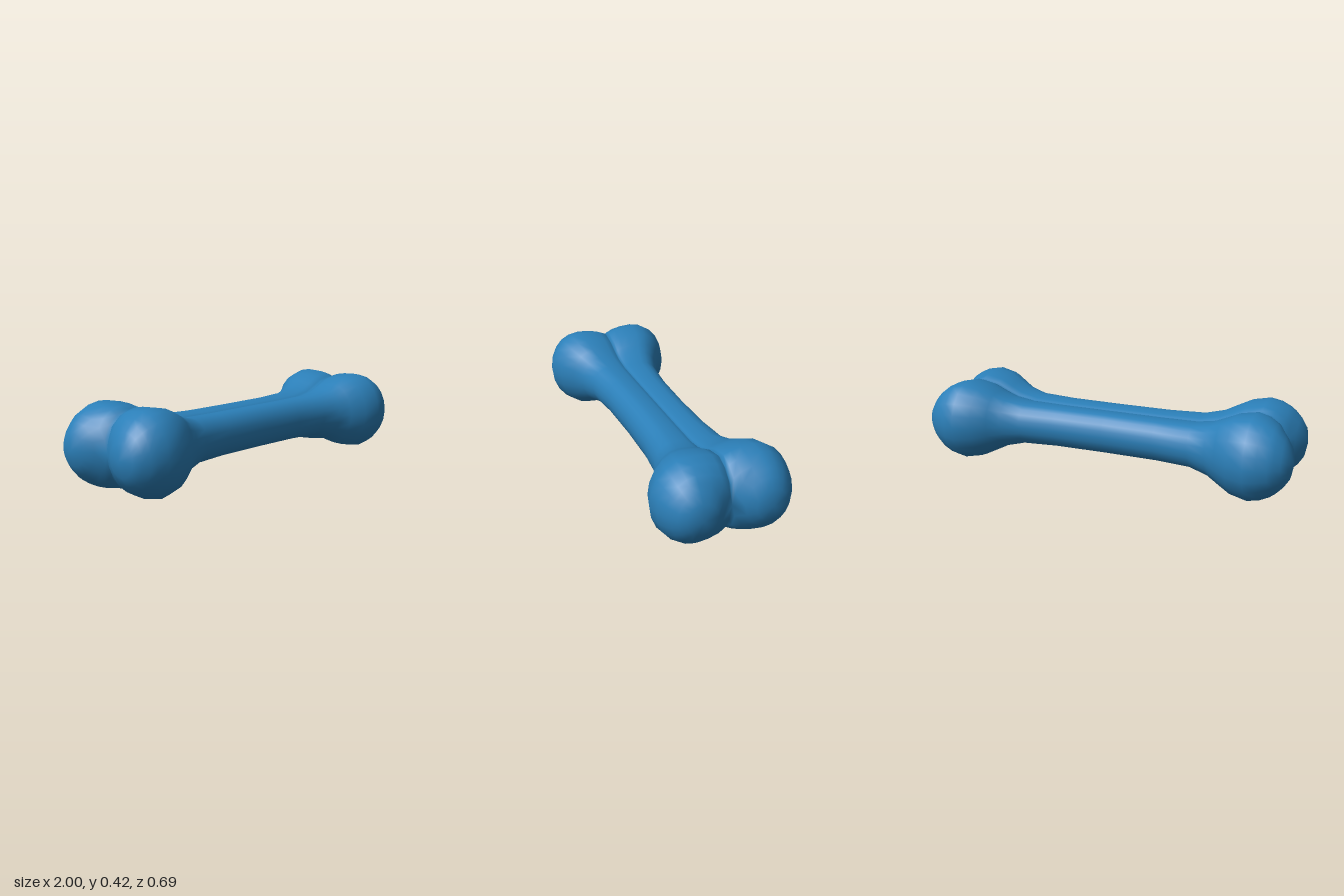
import * as THREE from 'three';
import { mergeVertices } from 'three/addons/utils/BufferGeometryUtils.js';

// Stations from the middle of the shaft to the tip of a knuckle:
// [x, outer z, ridge z, ridge height, height at the groove, inner z]
const STATIONS = [
  [0, 0.172, 0.085, 0.107, 0.088, 0],
  [0.28, 0.178, 0.088, 0.107, 0.088, 0],
  [0.47, 0.198, 0.1, 0.111, 0.09, 0],
  [0.57, 0.232, 0.122, 0.133, 0.102, 0],
  [0.63, 0.268, 0.14, 0.162, 0.122, 0],
  [0.7, 0.318, 0.155, 0.195, 0.153, 0],
  [0.79, 0.345, 0.162, 0.212, 0.171, 0],
  [0.85, 0.334, 0.165, 0.2, 0.145, 0],
  [0.9, 0.316, 0.168, 0.175, 0.09, 0],
  [0.925, 0.3, 0.17, 0.155, 0, 0],
  [0.955, 0.277, 0.17, 0.124, 0, 0.05],
  [0.983, 0.245, 0.17, 0.08, 0, 0.092],
  [1, 0.17, 0.17, 0, 0, 0.17],
];
const CENTRE_Y = 0.213;
const INNER = 4, OUTER = 10;

// Half of a cross-section: groove, over the ridge, round the outside, back to the groove
function halfSection([, outer, ridge, height, groove, inner]) {
  const points = [];
  for (let i = 0; i < INNER; i++) {
    const a = (i / INNER) * Math.PI / 2;
    points.push([groove + (height - groove) * Math.sin(a), ridge - (ridge - inner) * Math.cos(a)]);
  }
  for (let i = 0; i <= OUTER; i++) {
    const a = (i / OUTER) * Math.PI;
    points.push([height * Math.cos(a), ridge + (outer - ridge) * Math.sin(a)]);
  }
  for (let i = INNER - 1; i >= 0; i--) points.push([-points[i][0], points[i][1]]);
  return points;
}

function boneGeometry() {
  const mirrored = STATIONS.slice(1).reverse().map(([x, ...rest]) => [-x, ...rest]);
  const stations = [...mirrored, ...STATIONS];
  const positions = [], index = [];
  for (const side of [1, -1]) {
    const base = positions.length / 3;
    const rings = stations.map(halfSection);
    const n = rings[0].length;
    rings.forEach((ring, i) => {
      for (const [y, z] of ring) positions.push(stations[i][0], CENTRE_Y + y, side * z);
    });
    for (let i = 0; i < rings.length - 1; i++) {
      for (let j = 0; j < n - 1; j++) {
        const a = base + i * n + j, b = a + 1, c = a + n, d = c + 1;
        if (side > 0) index.push(a, b, c, b, d, c);
        else index.push(a, c, b, b, c, d);
      }
    }
  }
  const geometry = new THREE.BufferGeometry();
  geometry.setAttribute('position', new THREE.Float32BufferAttribute(positions, 3));
  geometry.setIndex(index);
  // Weld the two halves so the groove shades smoothly
  const welded = mergeVertices(geometry, 1e-4);
  welded.computeVertexNormals();
  return welded;
}

export function createModel() {
  const group = new THREE.Group();
  group.name = 'bone';
  const material = new THREE.MeshStandardMaterial({ color: 0x2b7fb8 });
  const body = new THREE.Mesh(boneGeometry(), material);
  body.name = 'boneBody';
  group.add(body);
  return group;
}
